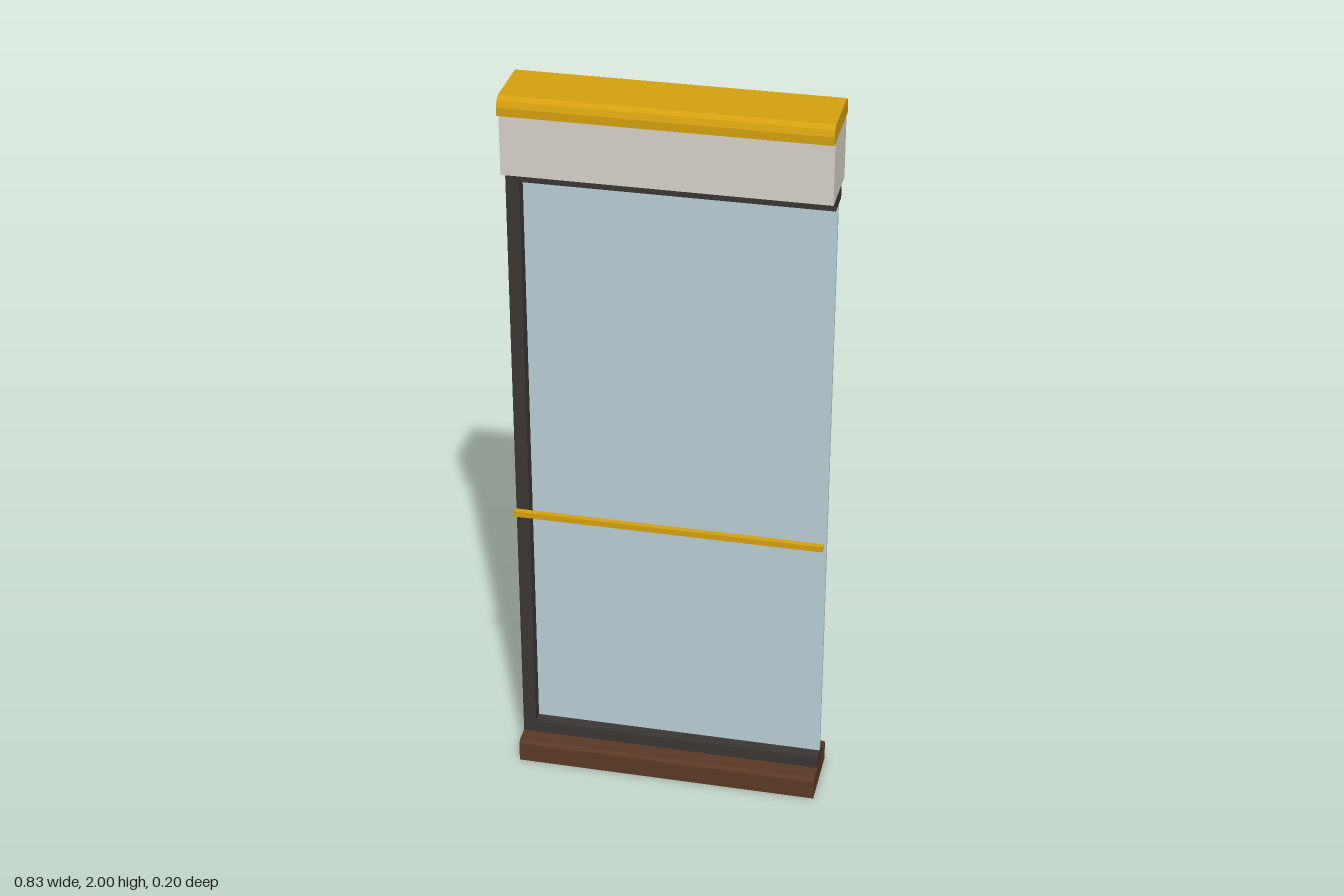
import * as THREE from 'three';

const X0 = -0.415, X1 = 0.415;

export function createModel() {
  const model = new THREE.Group();
  const mat = (color) => new THREE.MeshStandardMaterial({ color, flatShading: true });
  const gold = mat(0xd4a010), plaster = mat(0xd6d1c9), dark = mat(0x3a3634);
  const wood = mat(0x5a3825), glass = mat(0xb8cdd4);

  const add = (name, geometry, material) => {
    const mesh = new THREE.Mesh(geometry, material);
    mesh.name = name;
    model.add(mesh);
  };

  // Box given by its limits on each axis
  const box = (name, material, [xa, xb], [ya, yb], [za, zb]) => {
    const g = new THREE.BoxGeometry(xb - xa, yb - ya, zb - za);
    g.translate((xa + xb) / 2, (ya + yb) / 2, (za + zb) / 2);
    add(name, g, material);
  };

  // Moulding: half profile of [z, y] points, mirrored in z and run along x
  const moulding = (name, material, half) => {
    const points = [...half, ...half.map(([z, y]) => [-z, y]).reverse()];
    const shape = new THREE.Shape(points.map(([z, y]) => new THREE.Vector2(z, y)));
    const g = new THREE.ExtrudeGeometry(shape, { depth: X1 - X0, bevelEnabled: false });
    g.rotateY(-Math.PI / 2).translate(X1, 0, 0);
    add(name, g, material);
  };

  // Sill and top cap
  moulding('sill', wood, [[0.093, 0], [0.093, 0.056], [0.084, 0.065]]);
  moulding('topCap', gold, [[0.1, 1.953], [0.1, 1.975], [0.094, 1.991], [0.08, 2]]);

  // Header above the opening
  box('header', plaster, [X0, X1], [1.788, 1.953], [-0.082, 0.082]);

  // Frame, open on the left side where the next panel joins
  box('bottomRail', dark, [X0, X1], [0.065, 0.1], [-0.04, 0.04]);
  box('topRail', dark, [X0, X1], [1.753, 1.788], [-0.04, 0.04]);
  box('sidePost', dark, [X0, -0.38], [0.1, 1.753], [-0.04, 0.04]);

  // Pane and the horizontal bar in front of it
  box('pane', glass, [-0.38, X1], [0.1, 1.753], [-0.006, 0.006]);
  box('handrail', gold, [X0, X1], [0.789, 0.805], [0.057, 0.073]);

  return model;
}
